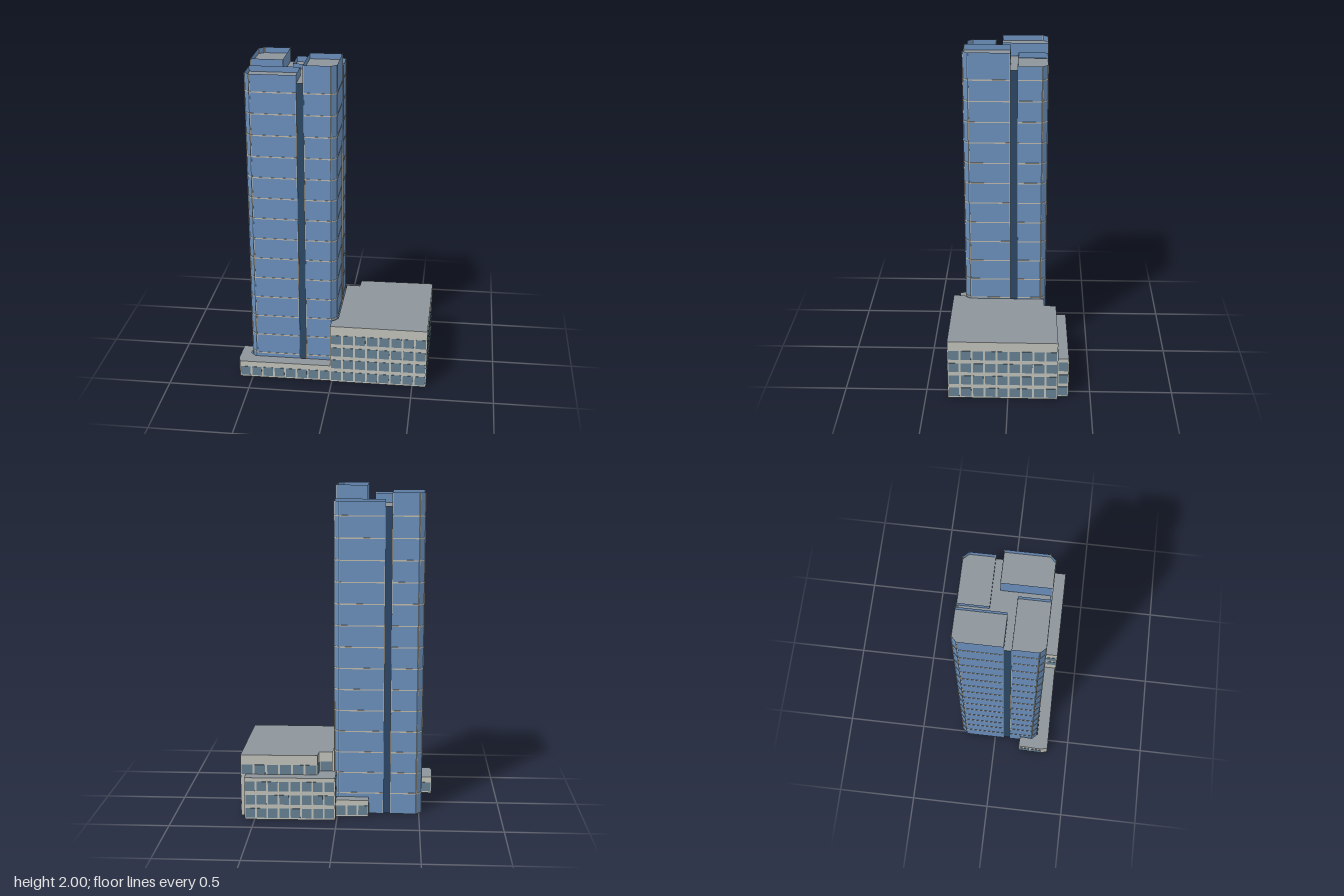
import * as THREE from 'three';
import { mergeGeometries } from 'three/addons/utils/BufferGeometryUtils.js';

const mat = (name, color) =>
  new THREE.MeshStandardMaterial({ name, color, side: THREE.DoubleSide });

// Walls along a plan path of [x, z] points; outward is to the right of travel
function wallGeometry(path, height) {
  const pos = [];
  for (let i = 0; i < path.length - 1; i++) {
    const [ax, az] = path[i], [bx, bz] = path[i + 1];
    pos.push(ax, 0, az, bx, 0, bz, bx, height, bz);
    pos.push(ax, 0, az, bx, height, bz, ax, height, az);
  }
  const g = new THREE.BufferGeometry();
  g.setAttribute('position', new THREE.Float32BufferAttribute(pos, 3));
  g.computeVertexNormals();
  return g;
}

// Flat roof over a closed plan outline
function roofGeometry(outline, y) {
  const shape = new THREE.Shape(outline.map(([x, z]) => new THREE.Vector2(x, -z)));
  return new THREE.ShapeGeometry(shape).rotateX(-Math.PI / 2).translate(0, y, 0);
}

// Thin plate lying on the wall a-b, at fraction t along it
function plate(a, b, t, y, w, h, depth = 0.004) {
  const dx = b[0] - a[0], dz = b[1] - a[1];
  return new THREE.BoxGeometry(w, h, depth)
    .rotateY(Math.atan2(-dz, dx))
    .translate(a[0] + dx * t, y, a[1] + dz * t);
}

const edgeLength = (a, b) => Math.hypot(b[0] - a[0], b[1] - a[1]);

export function createModel() {
  const model = new THREE.Group();
  const glass = mat('blue glass', 0x6a8fbb);
  const dark = mat('dark glass', 0x2c4766);
  const trim = mat('pale trim', 0xbfb9ab);
  const stone = mat('pale stone', 0xbfc0b8);
  const pane = mat('window glass', 0x647f90);
  const roof = mat('grey roof', 0x8d959c);

  const add = (parent, name, geometry, material) => {
    const mesh = new THREE.Mesh(geometry, material);
    mesh.name = name;
    parent.add(mesh);
  };
  const group = (name) => {
    const g = new THREE.Group();
    g.name = name;
    model.add(g);
    return g;
  };

  // Tower quarter: the first three edges are the outer facade, the second its chamfer
  function towerBlock(name, path, height) {
    const g = group(name);
    add(g, 'glassWalls', wallGeometry([...path, path[0]], height), glass);
    add(g, 'roof', roofGeometry(path, height - 0.035), roof);
    const strips = [];
    for (let i = 0; i < 3; i++) {
      const a = path[i], b = path[i + 1];
      for (let y = 0.131; y < height - 0.06; y += 0.131)
        strips.push(plate(a, b, 0.5, y, edgeLength(a, b), 0.007));
    }
    for (let i = 0; i < 4; i++) {
      const a = path[Math.min(i, 2)], b = path[Math.min(i, 2) + 1];
      strips.push(plate(a, b, i === 3 ? 1 : 0, height / 2, 0.005, height));
    }
    add(g, 'facadeStrips', mergeGeometries(strips), trim);
  }

  towerBlock('frontRightTowerBlock',
    [[-0.515, 0.1], [-0.515, 0.25], [-0.483, 0.282], [-0.213, 0.282], [-0.213, 0.1]], 1.94);
  towerBlock('frontLeftTowerBlock',
    [[-0.17, 0.282], [-0.01, 0.282], [0.022, 0.25], [0.022, 0], [-0.17, 0]], 2);
  towerBlock('backLeftTowerBlock',
    [[0.022, -0.045], [0.022, -0.193], [-0.01, -0.225], [-0.28, -0.225], [-0.28, -0.045]], 1.92);
  towerBlock('backRightTowerBlock',
    [[-0.322, -0.225], [-0.483, -0.225], [-0.515, -0.193], [-0.515, 0.057], [-0.322, 0.057]], 1.97);

  // Dark core filling the slots between the four blocks
  const core = [
    [-0.213, 0.274], [-0.17, 0.274], [-0.17, 0], [0.012, 0], [0.012, -0.045],
    [-0.28, -0.045], [-0.28, -0.215], [-0.322, -0.215], [-0.322, 0.057],
    [-0.507, 0.057], [-0.507, 0.1], [-0.213, 0.1],
  ];
  const coreGroup = group('towerCore');
  add(coreGroup, 'coreWalls', wallGeometry([...core, core[0]], 1.89), dark);
  add(coreGroup, 'coreRoof', roofGeometry(core, 1.888), roof);

  // Low building: walled path, remaining roof outline, window rows [first, end) per wall
  function podium(name, path, rest, height, rows) {
    const g = group(name);
    add(g, 'walls', wallGeometry(path, height), stone);
    add(g, 'roof', roofGeometry([...path, ...rest], height), roof);
    const panes = [];
    rows.forEach(([first, end], i) => {
      const a = path[i], b = path[i + 1], len = edgeLength(a, b);
      const n = Math.max(1, Math.round(len / 0.0725));
      for (let r = first; r < end; r++)
        for (let c = 0; c < n; c++)
          panes.push(plate(a, b, (c + 0.5) / n, 0.041 + r * 0.085, (len / n) * 0.84, 0.06));
    });
    add(g, 'windows', mergeGeometries(panes), pane);
  }

  podium('mainPodium',
    [[-0.01, 0.288], [-0.01, 0.363], [0.585, 0.363], [0.59, -0.3], [0.12, -0.292],
      [0.115, -0.215], [0.03, -0.215]],
    [[0.028, 0.255], [0, 0.288]], 0.387,
    [[2, 4], [0, 4], [0, 4], [3, 4], [3, 4], [3, 4]]);
  podium('backPodium',
    [[0.56, -0.3], [0.56, -0.367], [0.01, -0.357], [0.01, -0.215]],
    [[0.115, -0.215], [0.12, -0.292]], 0.265,
    [[0, 3], [0, 3], [0, 3]]);
  podium('smallBackWing',
    [[0.01, -0.292], [-0.19, -0.286], [-0.19, -0.225]],
    [[0.01, -0.225]], 0.105,
    [[0, 1], [0, 1]]);
  podium('lowFrontWing',
    [[-0.522, 0.172], [-0.588, 0.167], [-0.592, 0.325], [-0.58, 0.363], [-0.01, 0.358]],
    [[-0.01, 0.286], [-0.492, 0.286], [-0.526, 0.252]], 0.107,
    [[0, 1], [0, 1], [0, 0], [0, 1]]);

  return model;
}
